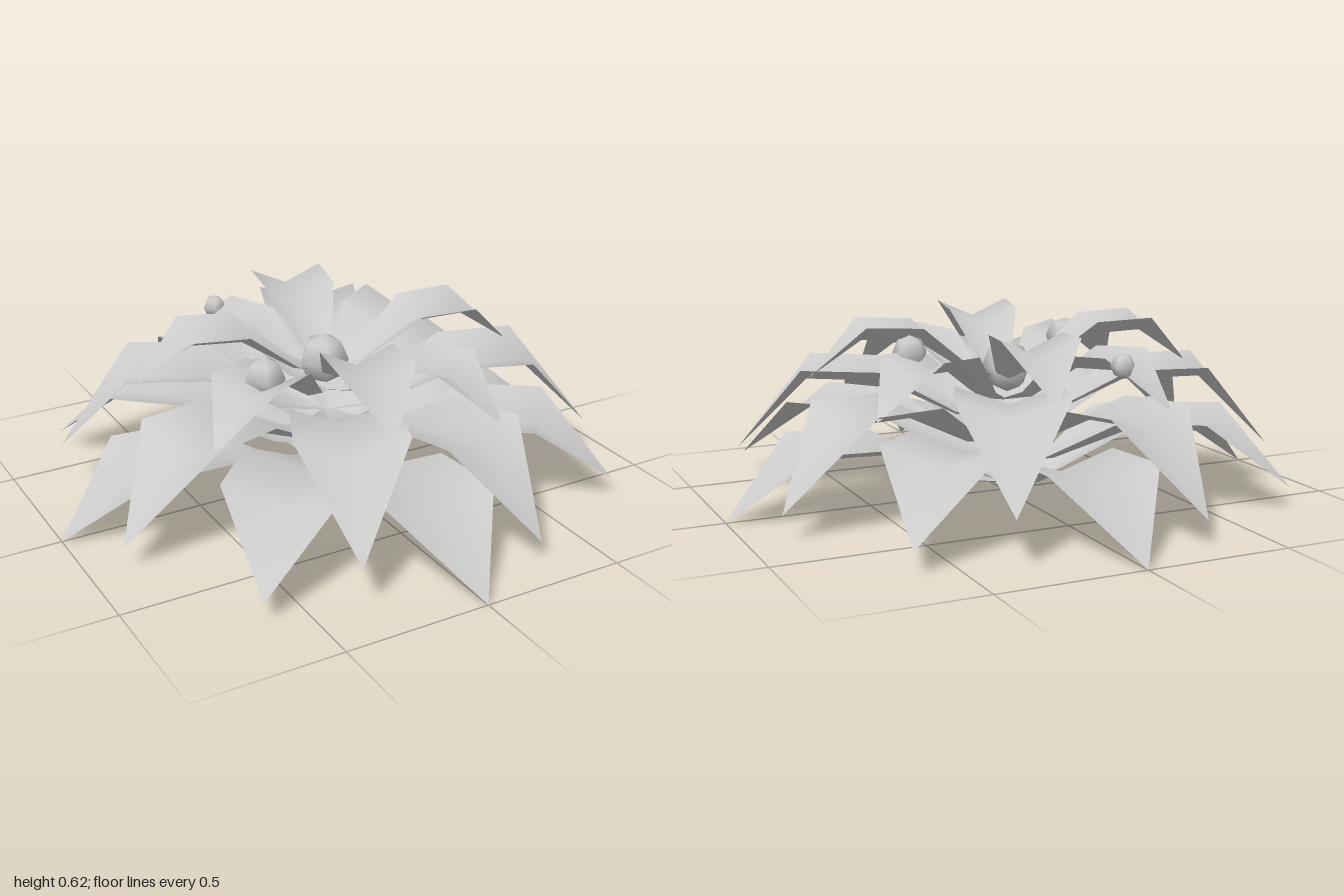
import * as THREE from 'three';

const material = new THREE.MeshStandardMaterial({ color: 0xcccccc, side: THREE.DoubleSide });

// Cross-sections of a leaf: [share of length, midrib height, edge height, half width share]
const SECTIONS = [
  [0, 0.03, 0.035, 0.015],
  [0.18, 0.055, 0.08, 0.085],
  [0.45, 0.175, 0.235, 0.185],
  [0.735, 0.185, 0.245, 0.195],
];

// V-shaped leaf arching out along +x, with a drooping pointed tip
function leafGeometry(length, tipY) {
  const points = [];
  const index = [];
  for (const [f, midY, edgeY, w] of SECTIONS) {
    const x = f * length;
    points.push(x, edgeY, -w * length, x, midY, 0, x, edgeY, w * length);
  }
  points.push(length, tipY, 0);
  const last = SECTIONS.length - 1;
  for (let i = 0; i < last; i++) {
    for (let j = 0; j < 2; j++) {
      const a = i * 3 + j;
      const b = a + 3;
      index.push(a, a + 1, b, a + 1, b + 1, b);
    }
  }
  const t = last * 3;
  index.push(t, t + 1, t + 3, t + 1, t + 2, t + 3);
  const geometry = new THREE.BufferGeometry();
  geometry.setAttribute('position', new THREE.Float32BufferAttribute(points, 3));
  geometry.setIndex(index);
  geometry.computeVertexNormals();
  return geometry;
}

export function createModel() {
  const plant = new THREE.Group();
  plant.name = 'rosettePlant';

  // Three tiers, each of two rings of four leaves
  const tiers = [
    { name: 'lowerLeaf', length: 1, tipY: 0.005, yaw: 0 },
    { name: 'middleLeaf', length: 0.933, tipY: -0.06, yaw: 17.4 },
    { name: 'upperLeaf', length: 0.675, tipY: 0.065, yaw: 29 },
  ];
  tiers.forEach(({ name, length, tipY, yaw }, tier) => {
    const geometry = leafGeometry(length, tipY);
    for (let ring = 0; ring < 2; ring++) {
      for (let i = 0; i < 4; i++) {
        const leaf = new THREE.Mesh(geometry, material);
        leaf.name = name;
        leaf.position.y = (tier * 2 + ring) * 0.075;
        leaf.rotation.y = THREE.MathUtils.degToRad(yaw + ring * 49.8 + i * 90);
        plant.add(leaf);
      }
    }
  });

  // Centre bud and small buds resting on the leaves: [name, x, y, z, radius]
  const buds = [
    ['centreBud', -0.01, 0.45, -0.01, 0.09],
    ['smallBud', -0.325, 0.51, 0.16, 0.07],
    ['smallBud', 0.38, 0.535, -0.08, 0.06],
    ['smallBud', -0.195, 0.515, -0.495, 0.042],
  ];
  for (const [name, x, y, z, r] of buds) {
    const bud = new THREE.Mesh(new THREE.SphereGeometry(r, 5, 4), material);
    bud.name = name;
    bud.position.set(x, y, z);
    plant.add(bud);
  }
  return plant;
}
